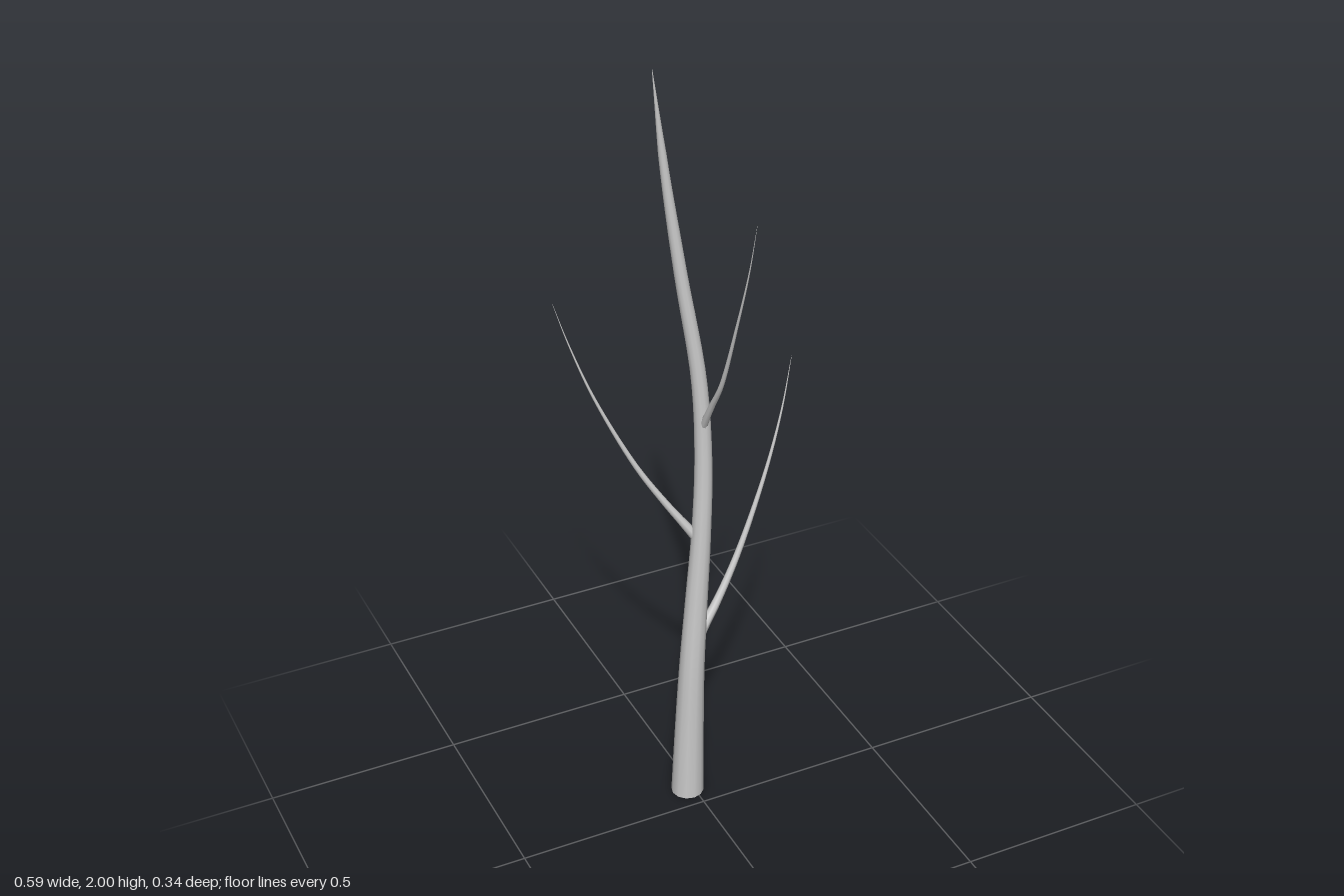
import * as THREE from 'three';

const bark = new THREE.MeshStandardMaterial({ color: 0xcccccc });

// Tapered limb: a tube swept along a smooth curve, its rings scaled by evenly spaced radii
function limb(name, points, radii, segments, sides) {
  const curve = new THREE.CatmullRomCurve3(points.map(p => new THREE.Vector3(...p)));
  const geometry = new THREE.TubeGeometry(curve, segments, 1, sides);
  const pos = geometry.attributes.position;
  const v = new THREE.Vector3();
  for (let i = 0; i <= segments; i++) {
    const u = i / segments;
    const centre = curve.getPointAt(u);
    const t = u * (radii.length - 1);
    const k = Math.min(Math.floor(t), radii.length - 2);
    const radius = THREE.MathUtils.lerp(radii[k], radii[k + 1], t - k);
    for (let j = 0; j <= sides; j++) {
      const n = i * (sides + 1) + j;
      v.fromBufferAttribute(pos, n).sub(centre).multiplyScalar(radius).add(centre);
      // A limb that starts on the ground gets a level foot
      pos.setXYZ(n, v.x, i === 0 && points[0][1] === 0 ? 0 : v.y, v.z);
    }
  }
  const mesh = new THREE.Mesh(geometry, bark);
  mesh.name = name;
  return mesh;
}

export function createModel() {
  const tree = new THREE.Group();
  tree.name = 'bareTree';

  // Trunk, gently bowed and drawn out to a point
  tree.add(limb('trunk', [
    [-0.015, 0, -0.066], [-0.011, 0.2, -0.062], [-0.005, 0.4, -0.058],
    [0.008, 0.6, -0.058], [0.022, 0.8, -0.059], [0.029, 1.0, -0.062],
    [0.02, 1.22, -0.067], [-0.019, 1.5, -0.081], [-0.052, 1.76, -0.092],
    [-0.077, 2.0, -0.096],
  ], [0.042, 0.037, 0.032, 0.028, 0.024, 0.0215, 0.019, 0.017, 0.014, 0.0095, 0.0005], 40, 12));

  // Cut face under the trunk
  const foot = new THREE.Mesh(new THREE.CircleGeometry(0.042, 12), bark);
  foot.name = 'trunkBase';
  foot.rotation.x = Math.PI / 2;
  foot.position.set(-0.015, 0, -0.066);
  tree.add(foot);

  // Branches, rooted inside the trunk and curving upwards to fine tips
  const taper = [0.017, 0.0122, 0.01, 0.0085, 0.0072, 0.006, 0.0048, 0.0037, 0.0026, 0.0015, 0.0004];
  const scaled = s => taper.map(r => r * s);
  tree.add(limb('lowerLeftBranch', [
    [0.002, 0.465, -0.06], [0.035, 0.512, -0.067], [0.07, 0.562, -0.074], [0.135, 0.68, -0.088],
    [0.22, 0.89, -0.106], [0.267, 1.05, -0.116], [0.294, 1.19, -0.122],
  ], taper, 28, 8));
  tree.add(limb('middleRightBranch', [
    [0.02, 0.77, -0.061], [-0.013, 0.818, -0.075], [-0.06, 0.888, -0.094], [-0.124, 0.995, -0.117],
    [-0.214, 1.19, -0.146], [-0.267, 1.34, -0.163], [-0.298, 1.445, -0.172],
  ], scaled(0.82), 28, 8));
  tree.add(limb('upperFrontBranch', [
    [0.025, 1.085, -0.063], [0.026, 1.132, -0.038], [0.028, 1.178, -0.013], [0.031, 1.25, 0.028],
    [0.036, 1.445, 0.098], [0.041, 1.6, 0.145], [0.044, 1.72, 0.172],
  ], scaled(0.65), 28, 8));

  return tree;
}
